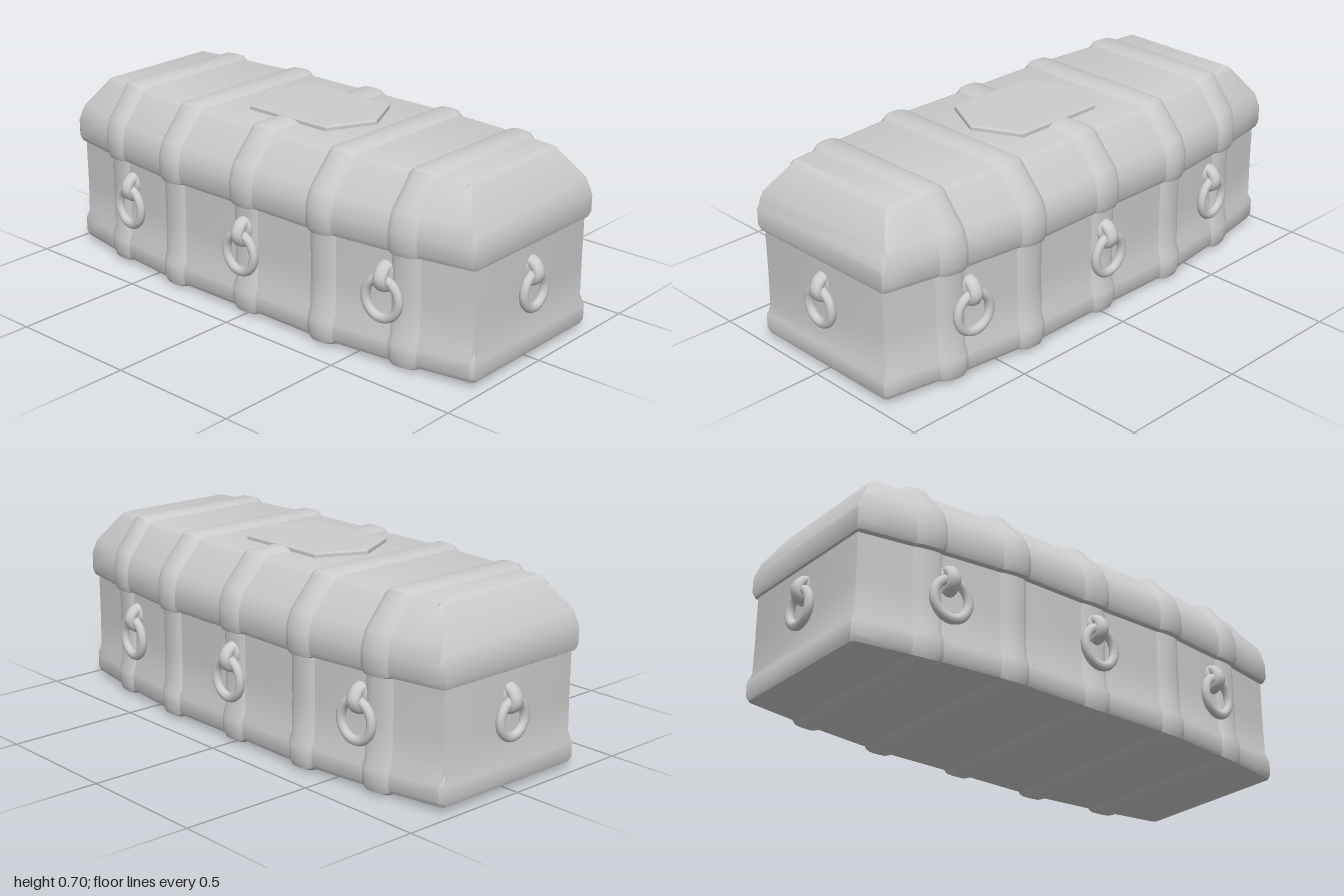
import * as THREE from 'three';
import { toCreasedNormals } from 'three/addons/utils/BufferGeometryUtils.js';

const grey = new THREE.MeshStandardMaterial({ color: 0xcccccc });
grey.name = 'pale grey';

// Half-width of the chest along its length: widest at the middle, tapering to the ends
const STATIONS = [[0, 0.415], [0.365, 0.418], [0.7, 0.38], [0.95, 0.336], [0.966, 0.326]];
function halfWidth(x) {
  const a = Math.abs(x);
  for (let i = 1; i < STATIONS.length; i++) {
    const [x0, w0] = STATIONS[i - 1], [x1, w1] = STATIONS[i];
    if (a <= x1) return w0 + (w1 - w0) * (a - x0) / (x1 - x0);
  }
  return STATIONS[STATIONS.length - 1][1];
}

// Half profiles, bottom to top: [width scale, width offset, height, end of length, vertical swell]
const BODY = [
  [1, -0.045, 0.012, 0.945, -1], [1, -0.02, 0.018, 0.96, -0.6], [1, -0.01, 0.036, 0.966, 0],
  [1, -0.01, 0.09, 0.966, 0], [1, -0.024, 0.125, 0.953, 0], [1, -0.027, 0.25, 0.952, 0],
  [1, -0.026, 0.43, 0.952, 0],
];
const LID = [
  [1, -0.035, 0.412, 0.945, -0.3], [1, -0.01, 0.42, 0.96, -0.3], [1, 0, 0.44, 0.966, 0],
  [1, 0, 0.5, 0.966, 0], [1, -0.008, 0.53, 0.955, 0.3], [0.95, 0, 0.562, 0.94, 0.6],
  [0.735, 0, 0.66, 0.875, 0.8], [0.71, 0, 0.672, 0.862, 1], [0.67, 0, 0.678, 0.85, 1],
];

// Closed hull through cross-sections; each section is [x, swell]
function hull(profile, sections) {
  const m = profile.length, n = 2 * m, pos = [], idx = [];
  for (const [x, d] of sections) {
    const half = profile.map(([s, o, y, end, v]) => [
      Math.sign(x) * Math.min(Math.abs(x), end), y + v * d, halfWidth(x) * s + o + d,
    ]);
    for (const [px, py, pz] of half) pos.push(px, py, pz);
    for (const [px, py, pz] of half.slice().reverse()) pos.push(px, py, -pz);
  }
  const quad = (a, b, c, d) => idx.push(a, b, c, a, c, d);
  for (let s = 0; s < sections.length - 1; s++) {
    for (let i = 0; i < n; i++) {
      const j = (i + 1) % n;
      quad(s * n + i, (s + 1) * n + i, (s + 1) * n + j, s * n + j);
    }
  }
  const e = (sections.length - 1) * n;
  for (let i = 0; i < m - 1; i++) {
    quad(e + i, e + n - 1 - i, e + n - 2 - i, e + i + 1);
    quad(i + 1, n - 2 - i, n - 1 - i, i);
  }
  const g = new THREE.BufferGeometry();
  g.setAttribute('position', new THREE.Float32BufferAttribute(pos, 3));
  g.setIndex(idx);
  return toCreasedNormals(g, 0.6);
}

function add(parent, name, geometry) {
  const mesh = new THREE.Mesh(geometry, grey);
  mesh.name = name;
  parent.add(mesh);
  return mesh;
}

// Hanging ring with its staple, facing +z, wall at z = 0
function ringHandle(radius) {
  const g = new THREE.Group();
  g.name = 'ringHandle';
  const ring = add(g, 'ring', new THREE.TorusGeometry(radius, 0.017, 10, 28));
  ring.position.set(0, 0.312 - radius, 0.022);
  ring.scale.y = 1.06;
  const path = new THREE.CatmullRomCurve3([
    [0, 0.36, -0.01], [0, 0.35, 0.018], [0, 0.318, 0.036], [0, 0.293, 0.025], [0, 0.28, -0.01],
  ].map(p => new THREE.Vector3(...p)));
  const staple = add(g, 'staple', new THREE.TubeGeometry(path, 14, 0.02, 10));
  staple.scale.x = 1.35;
  const plate = add(g, 'staplePlate', new THREE.SphereGeometry(0.045, 16, 10));
  plate.position.y = 0.335;
  plate.scale.set(0.85, 0.9, 0.3);
  return g;
}

export function createModel() {
  const chest = new THREE.Group();
  chest.name = 'chest';

  // Main box and faceted lid
  const xs = [-0.966, -0.95, -0.86, -0.7, -0.365, 0, 0.365, 0.7, 0.86, 0.95, 0.966];
  add(chest, 'body', hull(BODY, xs.map(x => [x, 0])));
  add(chest, 'lid', hull(LID, xs.map(x => [x, 0])));

  // Rounded straps wrapping the body and lid
  for (const x of [-0.7, -0.365, 0, 0.365, 0.7]) {
    const swell = [[-0.06, -0.003], [-0.047, 0.006], [-0.03, 0.012], [0, 0.013],
      [0.03, 0.012], [0.047, 0.006], [0.06, -0.003]].map(([dx, d]) => [x + dx, d]);
    add(chest, 'bodyStrap', hull(BODY, swell));
    add(chest, 'lidStrap', hull(LID, swell));
  }

  // Six-sided plaque on the lid
  const hex = new THREE.Shape([[0.26, 0], [0.178, 0.168], [-0.178, 0.168],
    [-0.26, 0], [-0.178, -0.168], [0.178, -0.168]].map(p => new THREE.Vector2(...p)));
  const plaque = add(chest, 'plaque', new THREE.ExtrudeGeometry(hex, {
    depth: 0.018, bevelThickness: 0.006, bevelSize: 0.008, bevelSegments: 2,
  }));
  plaque.rotation.x = -Math.PI / 2;
  plaque.position.y = 0.671;

  // Three ring handles on the front and back, one on each end
  for (const side of [1, -1]) {
    for (const x of [-0.62, 0, 0.62]) {
      const handle = ringHandle(0.067);
      const wall = halfWidth(x) - 0.027 + (x === 0 ? 0.013 : 0);
      handle.position.set(x, 0, side * wall);
      handle.rotation.y = (side > 0 ? 0 : Math.PI) + Math.sign(x) * side * 0.1;
      chest.add(handle);
    }
    const end = ringHandle(0.06);
    end.position.x = side * 0.946;
    end.rotation.y = side * Math.PI / 2;
    chest.add(end);
  }
  return chest;
}
